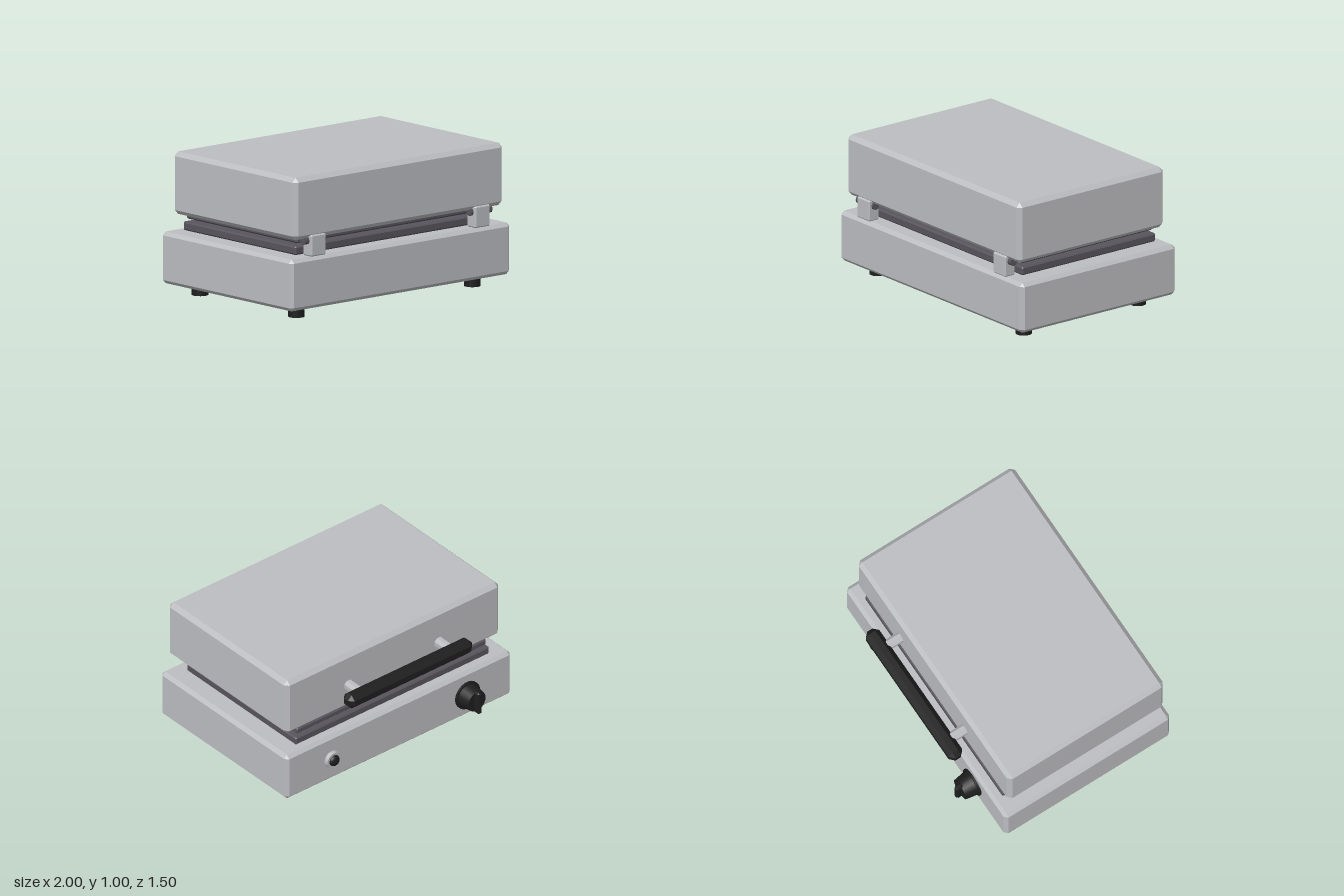
import * as THREE from 'three';

const steel = new THREE.MeshStandardMaterial({ name: 'brushed steel', color: 0xbcbdc1, side: THREE.DoubleSide });
const iron = new THREE.MeshStandardMaterial({ name: 'cast iron', color: 0x58545d });
const black = new THREE.MeshStandardMaterial({ name: 'black plastic', color: 0x1e1e1e });

// Box with every edge chamfered by c, built from four stacked rings; the underside can be left open
function chamferBox(x0, x1, y0, y1, z0, z1, c, open = false) {
  const cx = (x0 + x1) / 2, cz = (z0 + z1) / 2, hx = (x1 - x0) / 2, hz = (z1 - z0) / 2;
  const ring = (y, a) => [[1, 1], [1, -1], [-1, -1], [-1, 1]].flatMap(([sx, sz]) => {
    const onX = new THREE.Vector3(cx + sx * (hx - c + a), y, cz + sz * (hz - c));
    const onZ = new THREE.Vector3(cx + sx * (hx - c), y, cz + sz * (hz - c + a));
    return sx * sz > 0 ? [onZ, onX] : [onX, onZ];
  });
  const rings = [ring(y0, 0), ring(y0 + c, c), ring(y1 - c, c), ring(y1, 0)];
  const points = [];
  const tri = (p, q, r) => {
    const area = q.clone().sub(p).cross(r.clone().sub(p)).length();
    if (area > 1e-9) points.push(p, q, r);
  };
  for (let k = 0; k < 3; k++) {
    for (let i = 0; i < 8; i++) {
      const j = (i + 1) % 8, lo = rings[k], hi = rings[k + 1];
      tri(lo[i], lo[j], hi[j]);
      tri(lo[i], hi[j], hi[i]);
    }
  }
  for (let i = 1; i < 7; i++) {
    tri(rings[3][0], rings[3][i], rings[3][i + 1]);
    if (!open) tri(rings[0][0], rings[0][i + 1], rings[0][i]);
  }
  const geometry = new THREE.BufferGeometry().setFromPoints(points);
  geometry.computeVertexNormals();
  return geometry;
}

// Cylinder pointing backwards from z0 to z1, with radius r0 at z0 and r1 at z1
function backCylinder(x, y, z0, z1, r0, r1, sides = 24) {
  return new THREE.CylinderGeometry(r1, r0, z0 - z1, sides)
    .rotateY(Math.PI / sides)
    .rotateX(-Math.PI / 2)
    .translate(x, y, (z0 + z1) / 2);
}

export function createModel() {
  const model = new THREE.Group();
  model.name = 'contactGrill';
  const add = (name, geometry, material) => {
    const mesh = new THREE.Mesh(geometry, material);
    mesh.name = name;
    model.add(mesh);
    return mesh;
  };

  // Housings: the base is a shell open underneath
  add('baseHousing', chamferBox(-1, 1, 0.08, 0.44, -0.6, 0.75, 0.025, true), steel);
  add('lidHousing', chamferBox(-0.95, 0.95, 0.565, 1, -0.54, 0.735, 0.03), steel);

  // Cooking plates
  add('lowerPlate', chamferBox(-0.86, 0.86, 0.441, 0.502, -0.53, 0.635, 0.01), iron);
  add('upperPlate', chamferBox(-0.84, 0.84, 0.52, 0.566, -0.52, 0.625, 0.01), iron);

  for (const s of [-1, 1]) {
    // Hinges
    const x = s * 0.745;
    add('hingeBracket', chamferBox(x - 0.068, x + 0.068, 0.441, 0.59, 0.658, 0.746, 0.008), steel);
    add('hingePin', new THREE.CylinderGeometry(0.028, 0.028, 0.19, 8)
      .rotateZ(Math.PI / 2).translate(s * 0.755, 0.55, 0.7), iron);

    // Feet
    for (const z of [-0.42, 0.575]) {
      add('foot', new THREE.CylinderGeometry(0.057, 0.057, 0.085, 20).translate(s * 0.8, 0.0425, z), black);
    }

    // Handle posts
    const post = backCylinder(s * 0.4, 0.75, -0.53, -0.66, 0.039, 0.039, 8).toNonIndexed();
    post.computeVertexNormals();
    add('handlePost', post, steel);
  }

  // Handle bar
  add('handleBar', chamferBox(-0.55, 0.55, 0.695, 0.805, -0.747, -0.637, 0.034), black);

  // Control knob
  add('knobFlange', backCylinder(-0.6, 0.255, -0.598, -0.617, 0.105, 0.105), black);
  add('knobBody', backCylinder(-0.6, 0.255, -0.617, -0.708, 0.092, 0.077), black);
  add('knobGrip', chamferBox(-0.62, -0.58, 0.167, 0.343, -0.747, -0.69, 0.012), black);

  // Indicator light
  add('lampBezel', backCylinder(0.6, 0.255, -0.598, -0.628, 0.063, 0.06), steel);
  add('lampDome', new THREE.SphereGeometry(0.042, 20, 8, 0, Math.PI * 2, 0, Math.PI / 2)
    .scale(1, 0.65, 1).rotateX(-Math.PI / 2).translate(0.6, 0.255, -0.628), black);

  return model;
}
